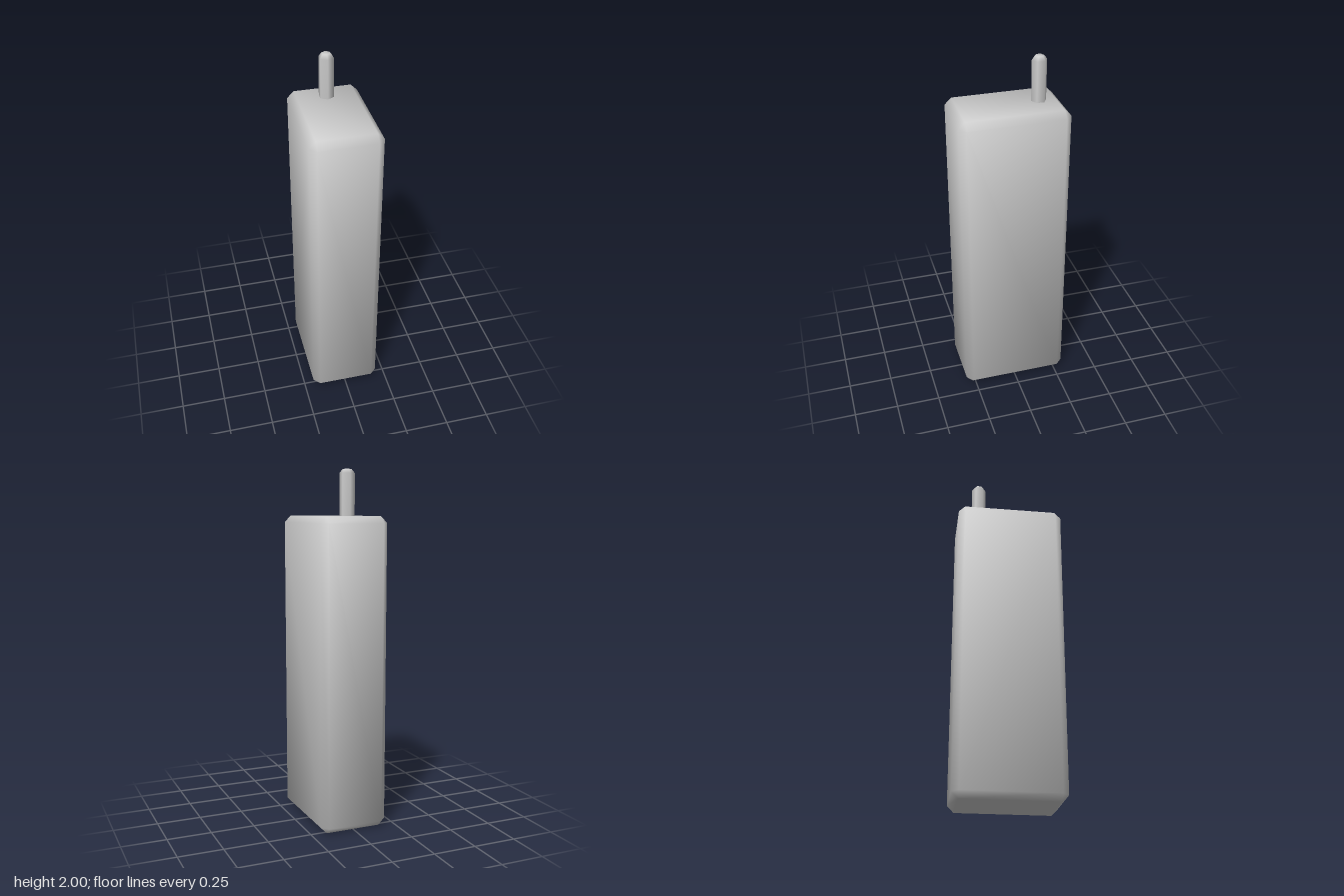
import * as THREE from 'three';
import { ConvexGeometry } from 'three/addons/geometries/ConvexGeometry.js';

// Box with 45 degree chamfers on every edge and softly blended normals
function chamferBox(w, h, d, c) {
  const half = [w / 2, h / 2, d / 2];
  const points = [];
  for (let axis = 0; axis < 3; axis++) {
    for (const sx of [-1, 1]) for (const sy of [-1, 1]) for (const sz of [-1, 1]) {
      const p = [sx, sy, sz].map((s, i) => s * (half[i] - (i === axis ? 0 : c)));
      points.push(new THREE.Vector3(...p));
    }
  }
  const geo = new ConvexGeometry(points);
  const pos = geo.attributes.position;
  const n = new THREE.Vector3();
  // Each corner leans mainly towards its own face and a little to its neighbours
  for (let i = 0; i < pos.count; i++) {
    const p = [pos.getX(i), pos.getY(i), pos.getZ(i)];
    n.set(...p.map((v, k) => Math.sign(v) * (Math.abs(v) > half[k] - c / 2 ? 1 : 0.39))).normalize();
    geo.attributes.normal.setXYZ(i, n.x, n.y, n.z);
  }
  return geo;
}

export function createModel() {
  const group = new THREE.Group();
  const material = new THREE.MeshStandardMaterial({ color: 0xcccccc });

  // Tall handset body
  const body = new THREE.Mesh(chamferBox(0.394, 1.75, 0.608, 0.037), material);
  body.name = 'body';
  body.position.y = 0.875;
  group.add(body);

  // Six-sided antenna with a bevelled tip, set towards the back
  const profile = [[0.042, 1.73], [0.042, 1.978], [0.024, 2], [0, 2]]
    .map(([r, y]) => new THREE.Vector2(r, y));
  const antenna = new THREE.Mesh(new THREE.LatheGeometry(profile, 6), material);
  antenna.name = 'antenna';
  antenna.position.z = -0.174;
  group.add(antenna);

  return group;
}
